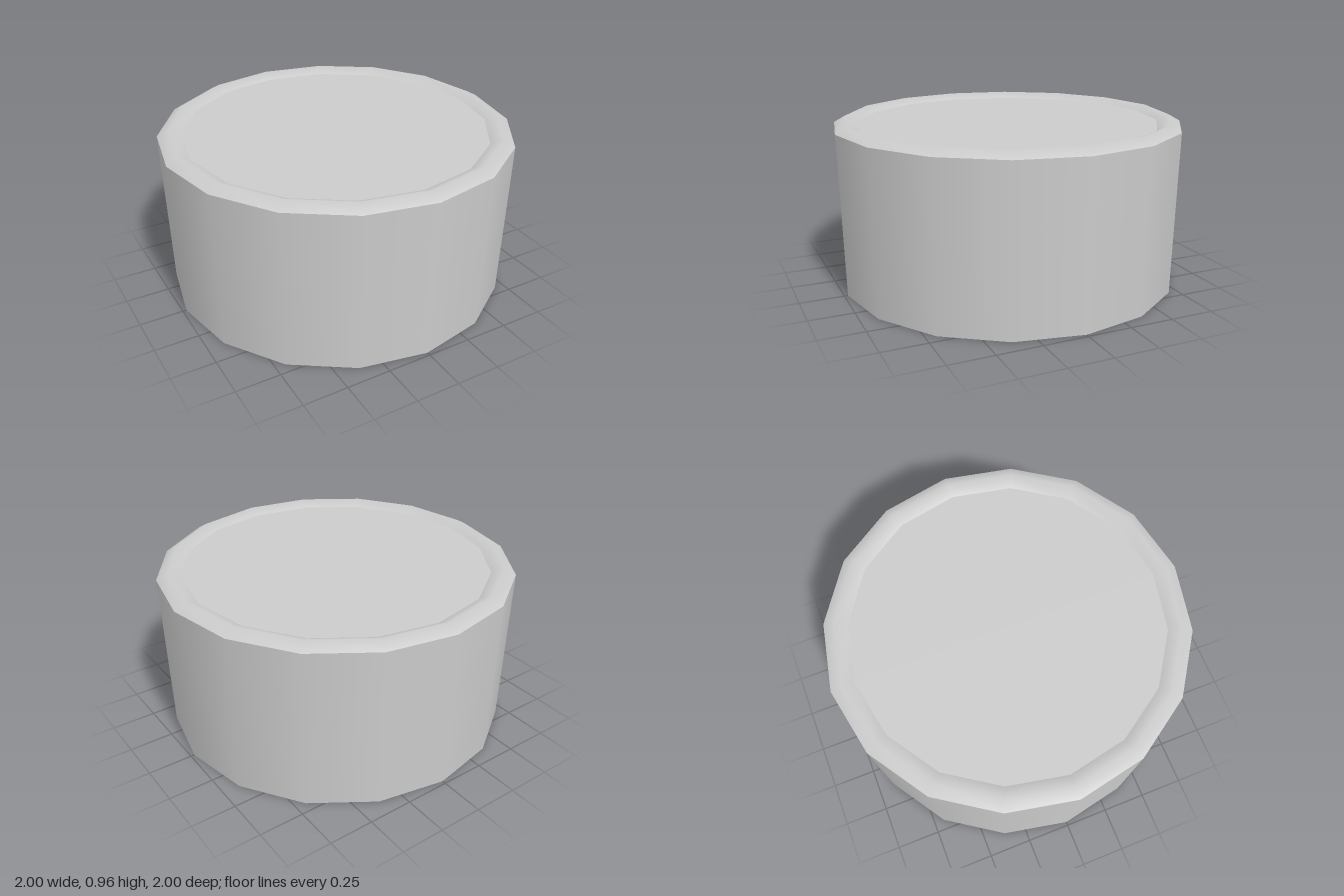
import * as THREE from 'three';

const SIDES = 16;

export function createModel() {
  const group = new THREE.Group();
  const solid = new THREE.MeshStandardMaterial({ color: 0xcccccc });
  const thin = new THREE.MeshStandardMaterial({ color: 0xcccccc, side: THREE.DoubleSide });

  // Turns a short [radius, height] profile; separate parts keep hard edges
  function turned(name, profile, material = solid) {
    const points = profile.map(([r, y]) => new THREE.Vector2(r, y));
    const mesh = new THREE.Mesh(new THREE.LatheGeometry(points, SIDES), material);
    mesh.name = name;
    group.add(mesh);
  }

  // Outer shell, open underneath and slightly flared
  turned('outerWall', [[0.98, 0], [1, 0.92]], thin);

  // Rounded lip: outer bevel, crest, inner bevel
  turned('rim', [[1, 0.92], [0.935, 0.957], [0.866, 0.925]], thin);

  // Flat top inside the lip
  turned('topDisc', [[0.866, 0.925], [0, 0.925]]);

  // Tapered core hanging inside the shell
  turned('coreWall', [[0.64, 0.18], [0.866, 0.925]]);
  turned('coreBottom', [[0, 0.18], [0.64, 0.18]]);

  return group;
}
